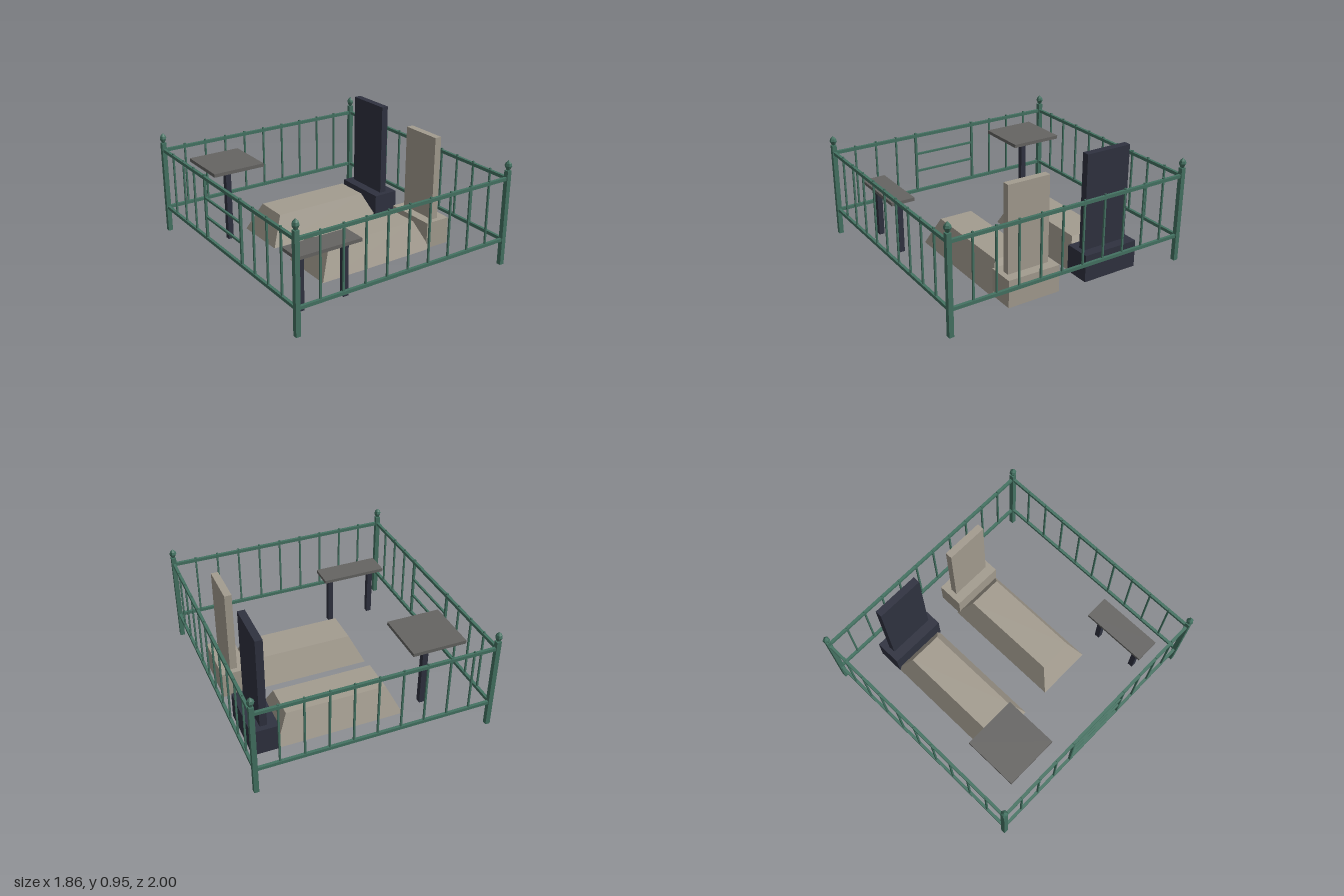
import * as THREE from 'three';

const mat = (color) => new THREE.MeshStandardMaterial({ color, flatShading: true });

export function createModel() {
  const root = new THREE.Group();
  const green = mat(0x447262), pale = mat(0xa39c8f), dark = mat(0x2f3240), slab = mat(0x656462);

  const add = (parent, name, geo, material, x = 0, y = 0, z = 0) => {
    const m = new THREE.Mesh(geo, material);
    m.name = name;
    m.position.set(x, y, z);
    parent.add(m);
    return m;
  };
  // Box given by its extents
  const block = (parent, name, material, x0, x1, y0, y1, z0, z1) =>
    add(parent, name, new THREE.BoxGeometry(x1 - x0, y1 - y0, z1 - z0), material,
      (x0 + x1) / 2, (y0 + y1) / 2, (z0 + z1) / 2);
  const group = (name) => {
    const g = new THREE.Group();
    g.name = name;
    root.add(g);
    return g;
  };

  // Fence: corner posts with bud-shaped finials
  const fence = group('fence');
  const X = 0.9, Z = 0.975;
  const bud = new THREE.LatheGeometry(
    [[0, 0.745], [0.014, 0.755], [0.028, 0.785], [0.022, 0.805], [0, 0.828]]
      .map(([r, y]) => new THREE.Vector2(r, y)), 6, Math.PI / 6);
  for (const sx of [-1, 1]) for (const sz of [-1, 1]) {
    add(fence, 'post', new THREE.BoxGeometry(0.036, 0.75, 0.036), green, sx * X, 0.375, sz * Z);
    add(fence, 'finial', bud, green, sx * X, 0, sz * Z);
  }

  // Rails and balusters on all four sides
  const gate = 0.266;
  const baluster = new THREE.BoxGeometry(0.013, 0.52, 0.013);
  for (const s of [-1, 1]) {
    for (const y of [0.203, 0.688]) {
      add(fence, 'crossRail', new THREE.BoxGeometry(2 * X, 0.025, 0.022), green, 0, y, s * Z);
      add(fence, 'sideRail', new THREE.BoxGeometry(0.022, 0.025, 2 * Z), green, s * X, y, 0);
    }
    for (let i = 1; i < 10; i++)
      add(fence, 'baluster', baluster, green, -X + i * 0.18, 0.452, s * Z);
    for (let i = 1; i < 11; i++) {
      const z = -Z + i * (2 * Z / 11);
      if (s < 0 && Math.abs(z) < 0.2) continue; // gate opening on the -x side
      add(fence, 'baluster', baluster, green, s * X, 0.452, z);
    }
  }

  // Gate: two stiles and two horizontal bars
  for (const s of [-1, 1])
    add(fence, 'gateStile', new THREE.BoxGeometry(0.018, 0.52, 0.018), green, -X, 0.452, s * gate);
  for (const y of [0.378, 0.528])
    add(fence, 'gateBar', new THREE.BoxGeometry(0.016, 0.016, 2 * gate), green, -X, y, 0);

  // Grave mound: box with its top face drawn inwards
  const mound = (parent, z) => {
    const geo = new THREE.BoxGeometry(1.005, 0.225, 0.45);
    const p = geo.attributes.position;
    for (let i = 0; i < p.count; i++)
      if (p.getY(i) > 0)
        p.setXYZ(i, p.getX(i) * 0.783, p.getY(i), p.getZ(i) * 0.605);
    geo.computeVertexNormals();
    add(parent, 'mound', geo, pale, 0.13, 0.1125, z);
  };

  const graveA = group('paleGrave');
  mound(graveA, 0.26);
  block(graveA, 'plinth', pale, 0.605, 0.815, 0, 0.213, 0.045, 0.47);
  block(graveA, 'headstone', pale, 0.682, 0.738, 0.213, 0.88, 0.09, 0.428);

  const graveB = group('darkGrave');
  mound(graveB, -0.418);
  block(graveB, 'plinth', dark, 0.605, 0.815, 0, 0.213, -0.647, -0.187);
  block(graveB, 'headstone', dark, 0.682, 0.738, 0.213, 0.955, -0.604, -0.228);

  // Square table on one leg
  const table = group('table');
  block(table, 'tableTop', slab, -0.775, -0.355, 0.628, 0.655, -0.775, -0.355);
  block(table, 'tableLeg', dark, -0.587, -0.543, 0, 0.628, -0.587, -0.543);

  // Bench on two legs
  const bench = group('bench');
  block(bench, 'benchSeat', slab, -0.788, -0.265, 0.432, 0.458, 0.613, 0.803);
  for (const x of [-0.708, -0.345])
    block(bench, 'benchLeg', dark, x - 0.021, x + 0.021, 0, 0.432, 0.687, 0.729);

  return root;
}
